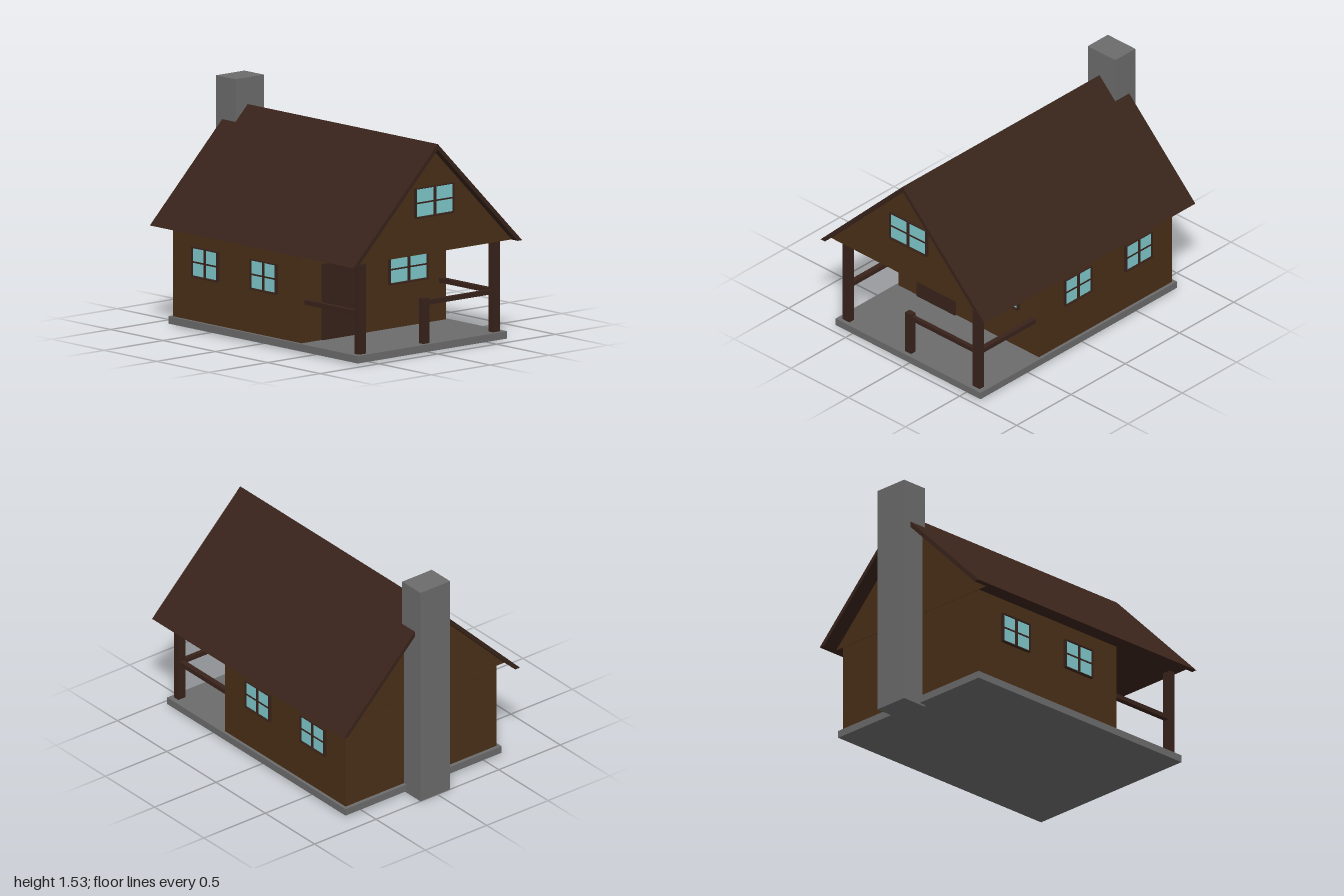
import * as THREE from 'three';

const mat = (color) => new THREE.MeshStandardMaterial({ color, flatShading: true });

export function createModel() {
  const house = new THREE.Group();
  house.name = 'cabin';
  const wood = mat(0x4a2f18), dark = mat(0x38231a), stone = mat(0x6c6c6c), glass = mat(0x7fc9cd);

  // Box given by its minimum and maximum along each axis
  function box(name, material, [x0, x1], [y0, y1], [z0, z1], parent = house) {
    const m = new THREE.Mesh(new THREE.BoxGeometry(x1 - x0, y1 - y0, z1 - z0), material);
    m.position.set((x0 + x1) / 2, (y0 + y1) / 2, (z0 + z1) / 2);
    m.name = name;
    parent.add(m);
    return m;
  }

  // Profile of [z, y] points extruded along x
  function prism(name, material, points, x0, x1) {
    const shape = new THREE.Shape(points.map(([z, y]) => new THREE.Vector2(-z, y)));
    const geo = new THREE.ExtrudeGeometry(shape, { depth: x1 - x0, bevelEnabled: false });
    geo.rotateY(Math.PI / 2).translate(x0, 0, 0);
    const m = new THREE.Mesh(geo, material);
    m.name = name;
    house.add(m);
  }

  // Four-pane window, built facing +z with its back on z = 0
  function windowUnit(name, w, h, x, y, z, turn) {
    const g = new THREE.Group();
    g.name = name;
    const a = w / 2, b = h / 2, t = 0.01, d = [0, 0.02];
    box('pane', glass, [-a + t, a - t], [-b + t, b - t], [0, 0.013], g);
    for (const s of [-1, 1]) {
      const x0 = s * (a - t / 2), y0 = s * (b - t / 4);
      box('frameSide', dark, [x0 - t / 2, x0 + t / 2], [-b, b], d, g);
      box('frameRail', dark, [-a + t, a - t], [y0 - t / 2, y0 + t / 4], d, g);
    }
    box('mullion', dark, [-0.01, 0.01], [-b + t, b - t], [0, 0.018], g);
    box('crossbar', dark, [-a + t, a - t], [-0.005, 0.005], [0, 0.017], g);
    g.position.set(x, y, z);
    g.rotation.y = turn;
    house.add(g);
  }

  // Base slab, walls and chimney
  const eave = 0.645;
  box('baseSlab', stone, [-0.86, 0.95], [0.012, 0.06], [-0.635, 0.635]);
  box('walls', wood, [-0.835, 0.39], [0.06, eave], [-0.615, 0.615]);
  box('chimney', stone, [-1, -0.815], [0, 1.53], [-0.138, 0.103]);

  // Gable block under the roof, with its dark ceiling and eave soffit
  prism('gable', wood, [[0.685, eave + 0.002], [0, 1.325], [-0.685, eave + 0.002]], -0.835, 0.945);
  const ceiling = new THREE.Mesh(new THREE.PlaneGeometry(1.78, 1.37), dark);
  ceiling.rotation.x = Math.PI / 2;
  ceiling.position.set(0.055, eave - 0.001, 0);
  ceiling.name = 'ceiling';
  house.add(ceiling);

  // Roof with level-cut eaves
  prism('roof', dark, [
    [0.718, eave], [0, 1.357], [-0.718, eave], [-0.68, eave], [0, 1.32], [0.68, eave],
  ], -0.943, 1);

  // Door
  box('door', dark, [0.39, 0.403], [0.06, 0.553], [0.11, 0.445]);

  // Porch posts and railings
  for (const s of [-1, 1]) {
    const z = s * 0.57;
    box('porchPost', dark, [0.88, 0.922], [0.06, eave], [z - 0.03, z + 0.03]);
    box('sideRail', dark, [0.39, 0.88], [0.306, 0.336], [z - 0.018, z + 0.018]);
  }
  box('railPost', dark, [0.88, 0.922], [0.06, 0.352], [0, 0.053]);
  box('frontRail', dark, [0.887, 0.915], [0.306, 0.336], [-0.54, 0]);

  // Windows on both long walls, the porch wall and the gable
  for (const x of [-0.517, 0.042]) {
    windowUnit('frontWindow', 0.248, 0.195, x, 0.443, 0.615, 0);
    windowUnit('backWindow', 0.248, 0.195, x, 0.443, -0.615, Math.PI);
  }
  windowUnit('porchWindow', 0.328, 0.195, 0.39, 0.443, -0.284, Math.PI / 2);
  windowUnit('gableWindow', 0.328, 0.195, 0.945, 0.985, -0.011, Math.PI / 2);

  return house;
}
